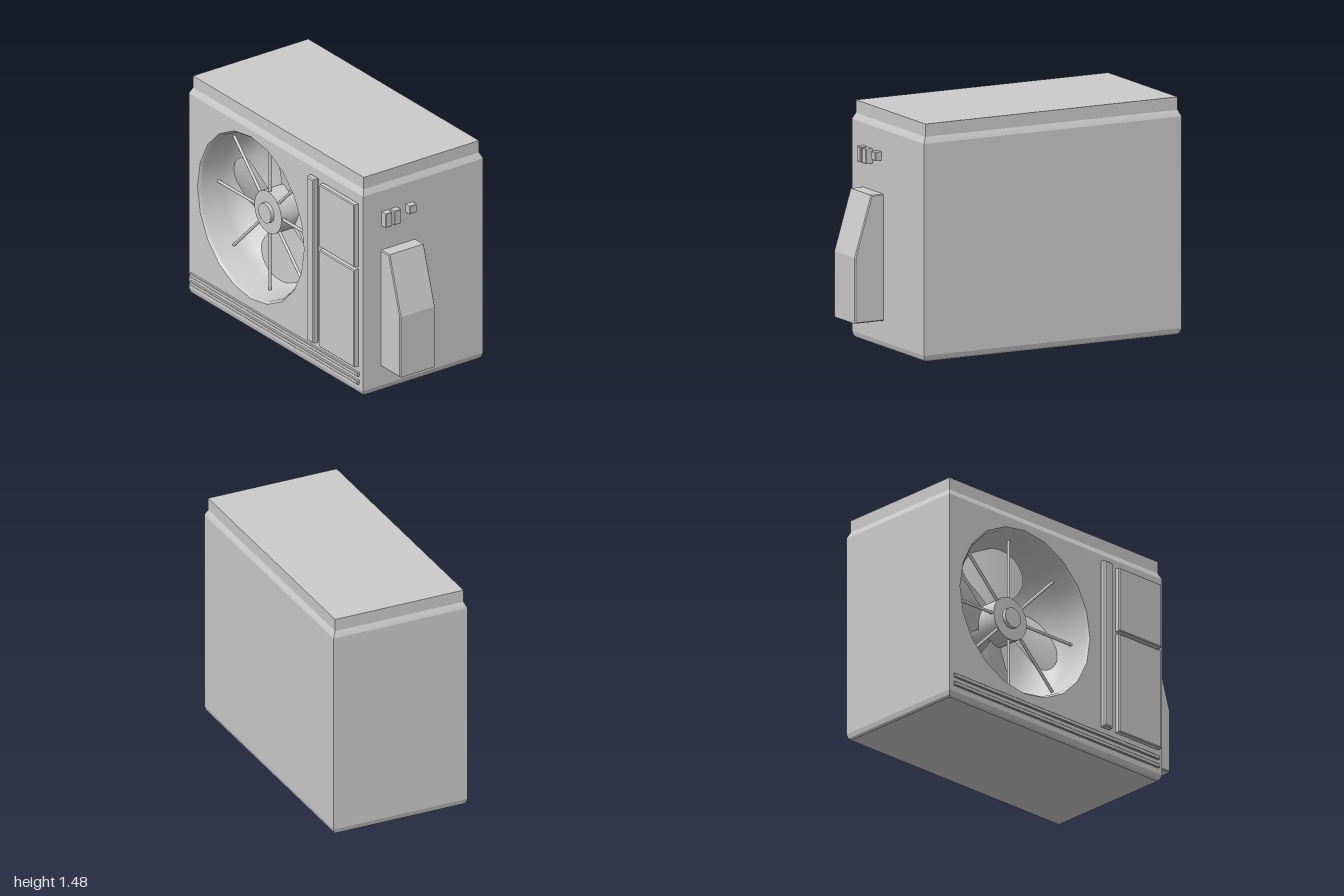
import * as THREE from 'three';

const material = new THREE.MeshStandardMaterial({ color: 0xcccccc, flatShading: true });
const smooth = new THREE.MeshStandardMaterial({ color: 0xcccccc, side: THREE.DoubleSide });

const FAN = { x: -0.36, y: 0.765, r: 0.55, sides: 20 };
const FRONT = 0.43;

function add(parent, name, geometry, mat = material) {
  const mesh = new THREE.Mesh(geometry, mat);
  mesh.name = name;
  parent.add(mesh);
  return mesh;
}

// Slab with a chamfered face: outline in xy, base at z = 0, rising to z = depth
function slab(points, depth, bevel) {
  const shape = new THREE.Shape(points.map(([x, y]) => new THREE.Vector2(x, y)));
  return new THREE.ExtrudeGeometry(shape, {
    depth: depth - 2 * bevel, bevelEnabled: true, bevelThickness: bevel,
    bevelSize: bevel, bevelOffset: -bevel, bevelSegments: 1,
  }).translate(0, 0, bevel);
}

const rect = (x0, x1, y0, y1) => [[x0, y0], [x1, y0], [x1, y1], [x0, y1]];

// Casing shell: rectangular rings stacked in y, left open where the fan panel sits
function casingGeometry() {
  const rings = [[0, 0.02], [0.012, 0.008], [0.04, 0], [1.36, 0], [1.375, 0.006], [1.4, 0.018], [1.48, 0.018]];
  const corners = rings.map(([y, inset]) => {
    const x0 = -1 + inset, x1 = 0.8 - inset, z0 = -0.48 + inset, z1 = FRONT - inset;
    return [[x0, y, z1], [x1, y, z1], [x1, y, z0], [x0, y, z0]];
  });
  const pos = [];
  const quad = (a, b, c, d) => pos.push(...a, ...b, ...c, ...a, ...c, ...d);
  for (let i = 0; i < rings.length - 1; i++) {
    for (let s = 0; s < 4; s++) {
      if (i === 2 && s === 0) continue;
      const t = (s + 1) % 4;
      quad(corners[i][s], corners[i][t], corners[i + 1][t], corners[i + 1][s]);
    }
  }
  quad(...corners[rings.length - 1]);
  quad(...corners[0].slice().reverse());
  const geometry = new THREE.BufferGeometry();
  geometry.setAttribute('position', new THREE.Float32BufferAttribute(pos, 3));
  geometry.computeVertexNormals();
  return geometry;
}

// Front panel with the polygonal fan opening
function fanPanelGeometry() {
  const shape = new THREE.Shape(rect(-1, 0.8, 0.04, 1.36).map(([x, y]) => new THREE.Vector2(x, y)));
  const hole = [];
  for (let i = 0; i < FAN.sides; i++) {
    const a = (i / FAN.sides) * Math.PI * 2;
    hole.push(new THREE.Vector2(FAN.x + FAN.r * Math.cos(a), FAN.y + FAN.r * Math.sin(a)));
  }
  shape.holes.push(new THREE.Path(hole));
  return new THREE.ShapeGeometry(shape).translate(0, 0, FRONT);
}

// Petal blade pointing up, pitched so its right edge comes forward
function bladeGeometry() {
  const geometry = new THREE.PlaneGeometry(2, 1, 10, 16);
  const p = geometry.attributes.position;
  for (let i = 0; i < p.count; i++) {
    const r = 0.1 + 0.415 * Math.sin((p.getY(i) + 0.5) * Math.PI / 2);
    const half = r < 0.34
      ? 0.05 + 0.15 * THREE.MathUtils.smoothstep(r, 0.08, 0.34)
      : 0.2 * Math.sqrt(Math.max(0, 1 - ((r - 0.34) / 0.175) ** 2));
    const x = p.getX(i) * half;
    p.setXYZ(i, x, r, 0.17 + 0.3 * x - 0.6 * x * x);
  }
  geometry.computeVertexNormals();
  return geometry;
}

function createFan() {
  const fan = new THREE.Group();
  fan.name = 'fan';
  fan.position.set(FAN.x, FAN.y, 0);

  // Rounded well behind the opening
  const profile = [[0, 0], [0.2, 0.005], [0.36, 0.03], [0.46, 0.08], [0.515, 0.16], [0.53, 0.25], [0.535, 0.41], [FAN.r, FRONT]]
    .map(([r, z]) => new THREE.Vector2(r, z));
  const well = new THREE.LatheGeometry(profile, FAN.sides).rotateX(Math.PI / 2);
  add(fan, 'fanWell', well, smooth);

  // Hub barrel with a raised cap
  const cyl = (r, z0, z1) => new THREE.CylinderGeometry(r, r, z1 - z0, 32)
    .rotateX(Math.PI / 2).translate(0, 0, (z0 + z1) / 2);
  add(fan, 'hub', cyl(0.14, 0.03, 0.3), smooth);
  add(fan, 'hubCap', cyl(0.065, 0.29, 0.325), smooth);

  for (let i = 0; i < 4; i++) {
    add(fan, 'blade', bladeGeometry(), smooth).rotation.z = i * Math.PI / 2;
  }
  // Guard spokes from the hub to the wall of the well
  for (let i = 0; i < 8; i++) {
    const spoke = new THREE.CylinderGeometry(0.01, 0.01, 0.41, 8).translate(0, 0.335, 0.285);
    add(fan, 'guardSpoke', spoke, smooth).rotation.z = i * Math.PI / 4;
  }
  return fan;
}

export function createModel() {
  const model = new THREE.Group();
  model.name = 'outdoorAirConditioner';

  add(model, 'casing', casingGeometry());
  add(model, 'fanPanel', fanPanelGeometry());
  model.add(createFan());

  // Raised panels and strips on the front: name, x0, x1, y0, y1, depth, bevel
  const raised = [
    ['verticalStrip', 0.275, 0.345, 0.195, 1.31, 0.045, 0.008],
    ['upperPanel', 0.4, 0.76, 0.875, 1.3, 0.04, 0.006],
    ['lowerPanel', 0.4, 0.76, 0.195, 0.855, 0.04, 0.006],
    ['lowerSlat', -0.97, 0.765, 0.075, 0.1, 0.018, 0.003],
    ['upperSlat', -0.97, 0.765, 0.13, 0.155, 0.018, 0.003],
  ];
  for (const [name, x0, x1, y0, y1, depth, bevel] of raised) {
    add(model, name, slab(rect(x0, x1, y0, y1), depth, bevel)).position.z = FRONT;
  }

  // Small fittings on the left side: z0, z1, y0, y1
  for (const [z0, z1, y0, y1] of [[0.24, 0.29, 1.125, 1.22], [0.173, 0.225, 1.125, 1.22], [0.055, 0.108, 1.165, 1.22]]) {
    const fitting = add(model, 'sideFitting', slab(rect(-z1, -z0, y0, y1), 0.05, 0.004));
    fitting.rotation.y = Math.PI / 2;
    fitting.position.x = 0.795;
  }

  // Sloped valve cover on the left side
  const cover = [[0.79, 0.17], [1, 0.17], [1, 0.58], [0.885, 0.96], [0.79, 0.96]];
  add(model, 'valveCover', slab(cover, 0.265, 0.006)).position.z = 0.03;

  return model;
}
